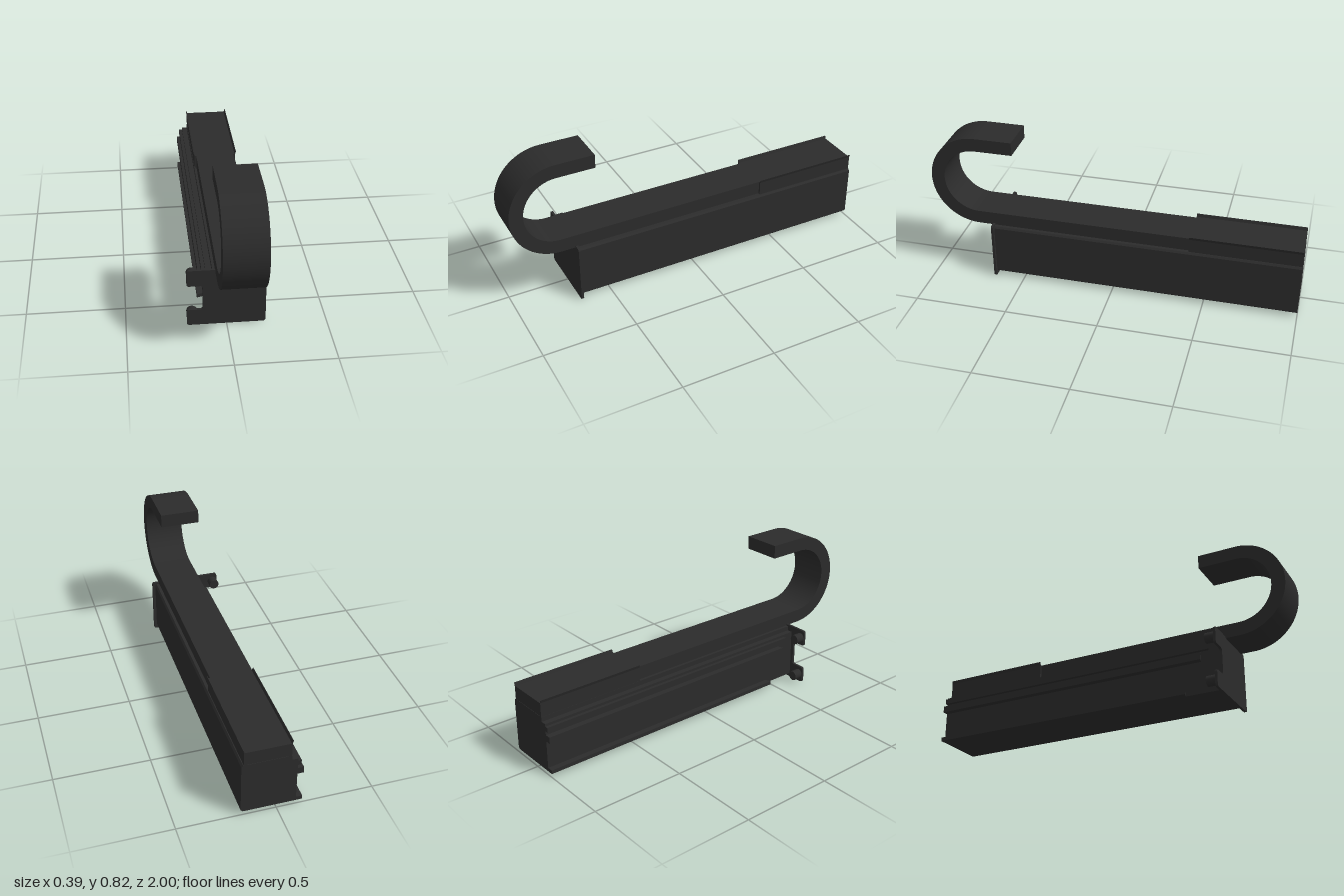
import * as THREE from 'three';

const material = new THREE.MeshStandardMaterial({ color: 0x2b2b2b, side: THREE.DoubleSide });

// Polygon with every corner rounded by radius r
function roundedShape(points, r) {
  const shape = new THREE.Shape();
  const v = points.map(([x, y]) => new THREE.Vector2(x, y));
  v.forEach((p, i) => {
    const prev = v[(i + v.length - 1) % v.length];
    const next = v[(i + 1) % v.length];
    const a = prev.clone().sub(p).setLength(r).add(p);
    const b = next.clone().sub(p).setLength(r).add(p);
    if (i === 0) shape.moveTo(a.x, a.y);
    else shape.lineTo(a.x, a.y);
    shape.quadraticCurveTo(p.x, p.y, b.x, b.y);
  });
  shape.closePath();
  return shape;
}

const polygon = (points) => new THREE.Shape(points.map(([x, y]) => new THREE.Vector2(x, y)));

export function createModel() {
  const model = new THREE.Group();

  const add = (name, geometry) => {
    const mesh = new THREE.Mesh(geometry, material);
    mesh.name = name;
    model.add(mesh);
    return mesh;
  };

  // Extrude an x-y cross-section from z0 to z1
  const extrude = (name, shape, z0, z1) => {
    const geometry = new THREE.ExtrudeGeometry(shape, { depth: z1 - z0, bevelEnabled: false, curveSegments: 5 });
    return add(name, geometry.translate(0, 0, z0));
  };

  // Long housing with chamfered right edges and stepped left wall
  extrude('housing', polygon([
    [-0.1, 0.02], [0.17, 0.02], [0.18, 0.03], [0.18, 0.3], [0.172, 0.31],
    [-0.07, 0.31], [-0.07, 0.285], [-0.1, 0.285],
  ]), -1, 0.66);

  // Rails along the left wall: x reach, bottom, top, front end
  const rails = [
    ['upperRail', -0.118, 0.245, 0.272, 0.6],
    ['middleRail', -0.132, 0.19, 0.225, 0.56],
    ['lowerRail', -0.132, 0.02, 0.04, 0.47],
  ];
  for (const [name, x, y0, y1, end] of rails) {
    const rail = extrude(name, polygon([[x, y0], [-0.095, y0], [-0.095, y1], [x, y1]]), -1, end);
    // Slant the front end
    const pos = rail.geometry.attributes.position;
    for (let i = 0; i < pos.count; i++) {
      if (pos.getZ(i) > 0 && pos.getX(i) > -0.1) pos.setZ(i, end - 0.012);
    }
    rail.geometry.computeVertexNormals();
  }

  // Front plate, notched on its right side
  extrude('frontPlate', roundedShape([
    [-0.198, 0], [0.196, 0], [0.196, 0.32], [-0.198, 0.32],
    [-0.198, 0.23], [-0.118, 0.23], [-0.118, 0.09], [-0.198, 0.09],
  ], 0.014), 0.657, 0.67);

  // Pegs behind the plate tabs
  for (const y of [0.045, 0.275]) {
    const peg = add('peg', new THREE.CylinderGeometry(0.027, 0.027, 0.052, 24));
    peg.rotation.x = Math.PI / 2;
    peg.position.set(-0.17, y, 0.634);
  }

  // Flat bar curling into a hook, drawn in side view with z as the shape's x
  const cz = 0.745, cy = 0.567, outer = 0.255, inner = 0.182;
  const hook = new THREE.Shape();
  hook.moveTo(-1, cy - outer);
  hook.lineTo(cz, cy - outer);
  hook.absarc(cz, cy, outer, -Math.PI / 2, Math.PI / 2, false);
  hook.lineTo(0.54, cy + outer);
  hook.lineTo(0.54, cy + inner);
  hook.lineTo(cz, cy + inner);
  hook.absarc(cz, cy, inner, Math.PI / 2, -Math.PI / 2, true);
  hook.lineTo(-1, cy - inner);
  hook.closePath();
  const hookGeometry = new THREE.ExtrudeGeometry(hook, { depth: 0.214, bevelEnabled: false, curveSegments: 48 });
  hookGeometry.rotateY(-Math.PI / 2).translate(0.157, 0, 0);
  add('hookBar', hookGeometry);

  // Rear cheeks beside the bar, each with a thin lip flaring outward
  for (const side of [-1, 1]) {
    const x = (d) => 0.05 + side * d;
    extrude('rearCheek', polygon([
      [x(0.106), 0.305], [x(0.118), 0.305], [x(0.118), 0.385],
      [x(0.123), 0.401], [x(0.121), 0.401], [x(0.115), 0.385], [x(0.106), 0.385],
    ]), -1, -0.41);
  }

  return model;
}
